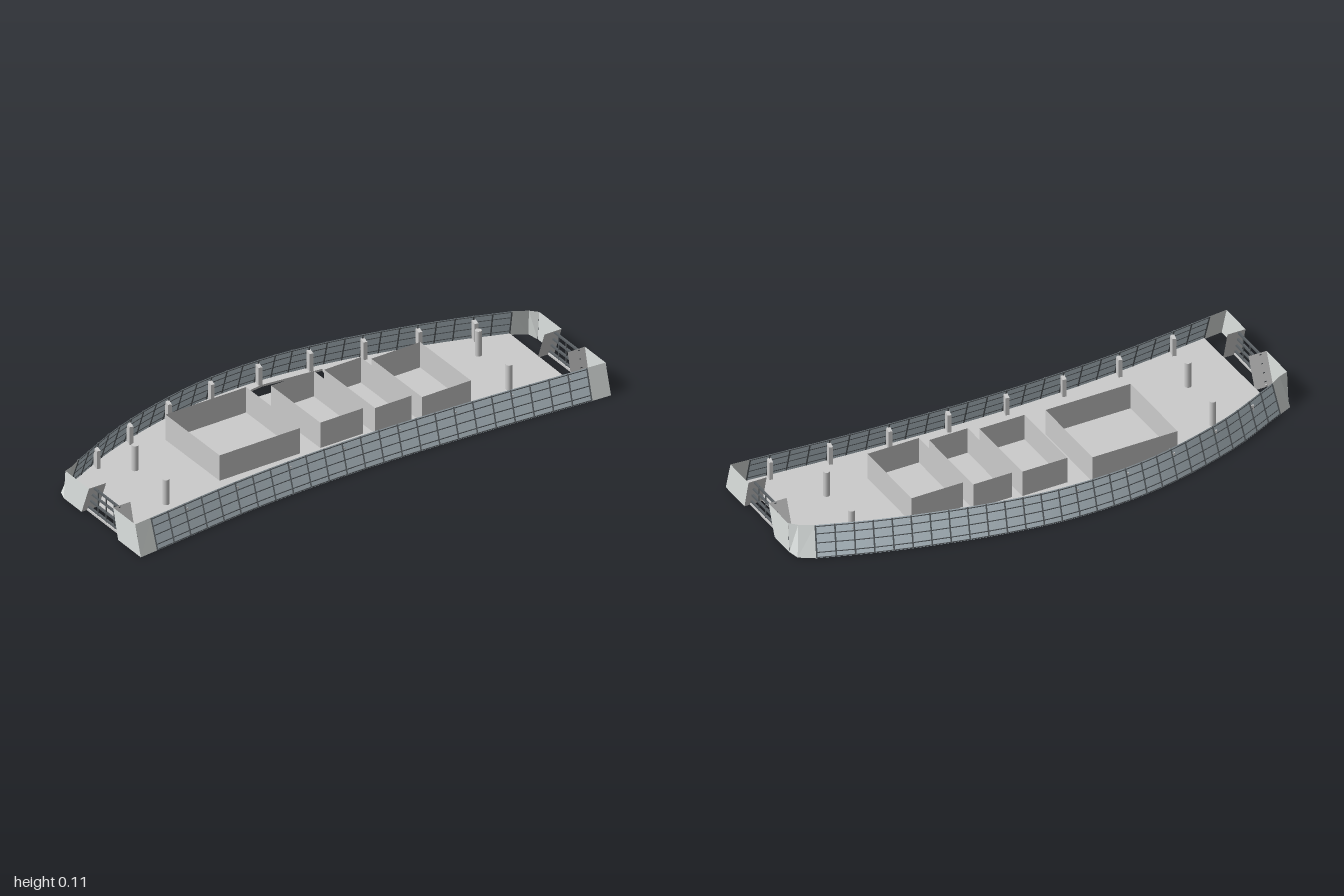
import * as THREE from 'three';
import { mergeGeometries } from 'three/addons/utils/BufferGeometryUtils.js';

const H = 0.113;
const V = (x, y, z) => new THREE.Vector3(x, y, z);
const mat = (color) => new THREE.MeshStandardMaterial({ color, side: THREE.DoubleSide });
const grey = mat(0xcccccc), glass = mat(0xc0ced6), pale = mat(0xdde2e0), dark = mat(0x5c6266);

function add(parent, name, geometry, material = grey) {
  const mesh = new THREE.Mesh(geometry, material);
  mesh.name = name;
  parent.add(mesh);
  return mesh;
}

// Surface ruled between two rows of points
function ruled(low, high) {
  const pos = [], index = [];
  low.forEach((p, i) => {
    pos.push(...p.toArray(), ...high[i].toArray());
    if (i) {
      const k = 2 * i;
      index.push(k - 2, k, k - 1, k, k + 1, k - 1);
    }
  });
  const g = new THREE.BufferGeometry();
  g.setAttribute('position', new THREE.Float32BufferAttribute(pos, 3));
  g.setIndex(index);
  g.computeVertexNormals();
  return g;
}

// Folded panel with sharp corners
function folded(low, high) {
  const g = ruled(low, high).toNonIndexed();
  g.computeVertexNormals();
  return g;
}

// Straight square bar between two points
function bar(a, b, w) {
  const dir = b.clone().sub(a);
  const g = new THREE.BoxGeometry(w, w, dir.length());
  g.applyQuaternion(new THREE.Quaternion().setFromUnitVectors(V(0, 0, 1), dir.normalize()));
  const c = a.clone().add(b).multiplyScalar(0.5);
  return g.translate(c.x, c.y, c.z);
}

// Curved facade leaning inward; side is +1 at the front, -1 at the back
function facade(parent, name, plan, bays, side) {
  const curve = new THREE.CatmullRomCurve3(plan.map(([x, z]) => V(x, 0, z)));
  const low = curve.getSpacedPoints(bays);
  const high = low.map((p, i) => {
    const t = curve.getTangentAt(i / bays);
    return V(p.x + side * t.z * 0.035, H, p.z - side * t.x * 0.035);
  });
  const group = new THREE.Group();
  group.name = name;
  parent.add(group);
  add(group, name + 'Glass', ruled(low, high), glass);
  const at = (i, y) => low[i].clone().lerp(high[i], y / H);
  const frames = [];
  for (let i = 0; i <= bays; i++) {
    frames.push(bar(at(i, 0.001), at(i, H - 0.001), 0.005));
    if (i) for (const y of [0.003, 0.02, 0.052, 0.083, 0.108])
      frames.push(bar(at(i - 1, y), at(i, y), 0.003));
  }
  add(group, name + 'Mullions', mergeGeometries(frames), dark);
  // Small brackets on the inside face
  const stubs = [];
  for (let i = 2; i < bays; i += 3) {
    const p = at(i, 0.06);
    stubs.push(new THREE.BoxGeometry(0.014, 0.07, 0.03).translate(p.x, p.y, p.z - side * 0.025));
  }
  add(group, name + 'Brackets', mergeGeometries(stubs));
  return { low, high };
}

// End wall with a trapezoid opening, slanted reveals and louvres
function endWall(parent, name, back, front, inward) {
  const group = new THREE.Group();
  group.name = name;
  parent.add(group);
  const along = V(front[0] - back[0], 0, front[1] - back[1]);
  const n = V(along.z, 0, -along.x).normalize().multiplyScalar(inward);
  const pt = (f, y, d = 0) => V(back[0], y, back[1]).addScaledVector(along, f).addScaledVector(n, d);
  const panel = (a0, b0, a1, b1) => ruled([pt(a0, 0), pt(b0, 0)], [pt(a1, H), pt(b1, H)]);
  add(group, 'backEndPanel', panel(0.05, 0.27, 0.07, 0.36), pale);
  add(group, 'frontEndPanel', panel(0.72, 1, 0.66, 0.93), pale);
  for (const [f0, f1] of [[0.27, 0.36], [0.72, 0.66]]) {
    add(group, 'openingReveal', ruled([pt(f0, 0), pt(f0, 0, 0.07)], [pt(f1, H), pt(f1, H, 0.07)]));
  }
  const bars = [];
  for (const y of [0.016, 0.045, 0.075, 0.105]) {
    const t = y / H;
    bars.push(bar(pt(0.27 + 0.09 * t, y, 0.025), pt(0.72 - 0.06 * t, y, 0.025), 0.007));
  }
  for (const f of [0.4, 0.5, 0.6]) bars.push(bar(pt(f, 0, 0.025), pt(f, H - 0.004, 0.025), 0.004));
  add(group, 'louvres', mergeGeometries(bars), dark);
  add(group, 'louvreSill', bar(pt(0.27, 0.004, 0.025), pt(0.72, 0.004, 0.025), 0.008));
}

export function createModel() {
  const model = new THREE.Group();
  model.name = 'buildingStorey';

  const backPlan = [[-0.94, -0.04], [-0.72, -0.21], [-0.4, -0.38], [-0.1, -0.468], [0.14, -0.497],
    [0.41, -0.502], [0.62, -0.493], [0.81, -0.473]];
  const frontPlan = [[-0.81, 0.472], [-0.4, 0.325], [0.03, 0.207], [0.49, 0.113], [0.92, 0.041]];
  const back = facade(model, 'backFacade', backPlan, 28, -1);
  const front = facade(model, 'frontFacade', frontPlan, 24, 1);

  // End walls
  endWall(model, 'rightEnd', [-0.995, 0.01], [-0.88, 0.497], 1);
  endWall(model, 'leftEnd', [0.885, -0.435], [0.995, 0.027], -1);

  // Solid corner panels joining the facades to the end walls
  const corner = (name, start, top, plan) => add(model, name, folded(
    [start, ...plan.map(([x, z]) => V(x, 0, z))],
    [top, ...plan.map(([x, z, dx, dz]) => V(x + dx, H, z + dz))]), pale);
  corner('backRightCorner', back.low[0], back.high[0],
    [[-0.985, -0.005, 0.03, 0.028], [-0.989, 0.034, 0.002, 0.01]]);
  corner('backLeftCorner', back.low[28], back.high[28],
    [[0.872, -0.452, -0.01, 0.03], [0.89, -0.412, 0.002, 0.01]]);
  corner('frontRightCorner', front.low[0], front.high[0], [[-0.88, 0.497, -0.008, -0.034]]);
  corner('frontLeftCorner', front.low[24], front.high[24], [[0.995, 0.027, -0.008, -0.032]]);

  // Floor slab with a notch behind the back facade
  const outline = [
    ...back.low.map((p) => [p.x, p.z + 0.005]), [0.915, 0],
    ...front.low.map((p) => [p.x, p.z - 0.005]).reverse()];
  const toShape = ([x, z]) => new THREE.Vector2(x, -z);
  const floor = new THREE.Shape(outline.map(toShape));
  floor.holes.push(new THREE.Path([[-0.33, -0.345], [-0.1, -0.435], [0.13, -0.465], [0.13, -0.4],
    [0, -0.392], [-0.13, -0.367], [-0.315, -0.293]].map(toShape)));
  add(model, 'floorSlab', new THREE.ExtrudeGeometry(floor, { depth: 0.008, bevelEnabled: false })
    .rotateX(-Math.PI / 2));

  // Open-topped service cores
  const cores = [[-0.335, -0.08, 0.33, 0.33], [-0.01, -0.135, 0.175, 0.3],
    [0.185, -0.165, 0.15, 0.31], [0.385, -0.185, 0.2, 0.31]];
  for (const [x, z, w, d] of cores) {
    const ring = (y) => [[-1, -1], [-1, 1], [1, 1], [1, -1], [-1, -1]]
      .map(([i, j]) => V(i * w / 2, y, j * d / 2));
    const core = add(model, 'serviceCore', folded(ring(0.001), ring(0.108)));
    core.position.set(x, 0, z);
    core.rotation.y = 0.24;
  }

  // Free-standing columns
  for (const [x, z] of [[-0.7, -0.05], [-0.68, 0.2], [0.66, -0.37], [0.68, -0.12]]) {
    add(model, 'column', new THREE.CylinderGeometry(0.012, 0.012, 0.106, 12).translate(x, 0.053, z));
  }
  return model;
}
